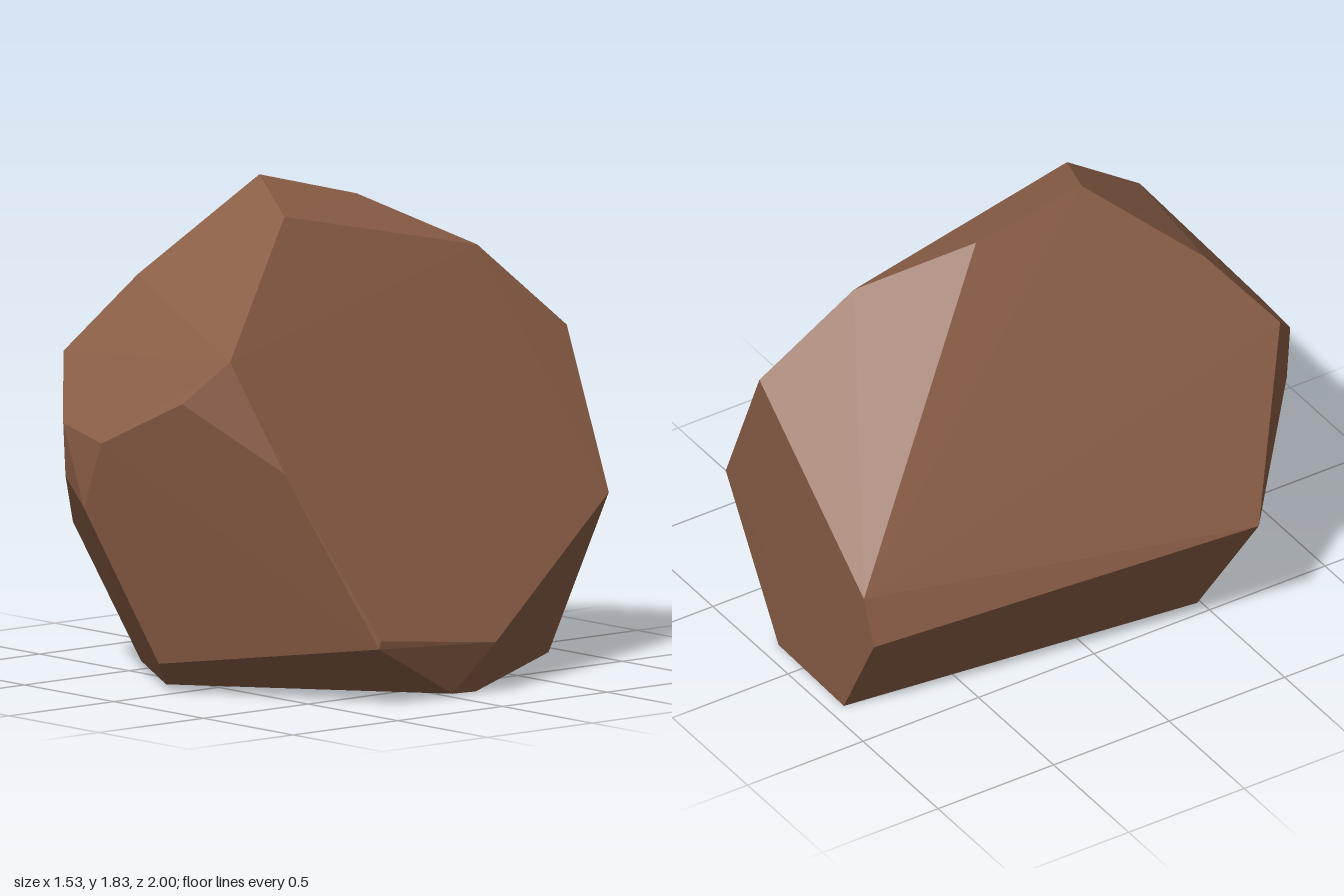
import * as THREE from 'three';
import { ConvexGeometry } from 'three/addons/geometries/ConvexGeometry.js';

// Corners of the faceted boulder, grouped by region: [x, y, z]
const crown = [
  [-0.17, 1.83, 0.16], [0.11, 1.72, 0.28], [-0.13, 1.72, -0.27], [0.10, 1.52, -0.65],
];
const frontCorners = [
  [-0.38, 1.48, 0.56], [0.38, 1.27, 0.77], [-0.54, 1.20, 0.78], [0.24, 1.11, 0.88],
  [-0.33, 0.98, 0.96], [-0.07, 0.94, 1.0], [-0.35, 0.78, 0.932], [-0.18, 0.69, 0.99],
];
const sideCorners = [
  [0.553, 0.87, 0.66], [0.765, 0.25, 0.38], [0.762, 0.22, 0.385], [0.765, 0.19, -0.17],
  [-0.767, 0.52, 0.54],
];
const backCorners = [
  [0.19, 1.20, -1.0], [0.46, 0.62, -0.97], [-0.46, 0.60, -0.97], [-0.51, 0.41, -0.96],
];
const base = [
  [-0.03, 0.11, 0.76], [-0.13, 0.01, 0.64], [0.71, 0.01, -0.01], [0.70, 0.005, -0.13],
  [0.17, 0, -0.93], [-0.28, 0.002, -0.94], [-0.48, 0.035, 0.46],
];

export function createModel() {
  const group = new THREE.Group();
  group.name = 'rock';

  const brownStone = new THREE.MeshStandardMaterial({ color: 0x8b5e46 });
  brownStone.name = 'brownStone';

  // Convex hull gives flat, sharp-edged facets
  const points = [...crown, ...frontCorners, ...sideCorners, ...backCorners, ...base]
    .map((p) => new THREE.Vector3(...p));
  const boulder = new THREE.Mesh(new ConvexGeometry(points), brownStone);
  boulder.name = 'boulder';
  group.add(boulder);

  return group;
}
